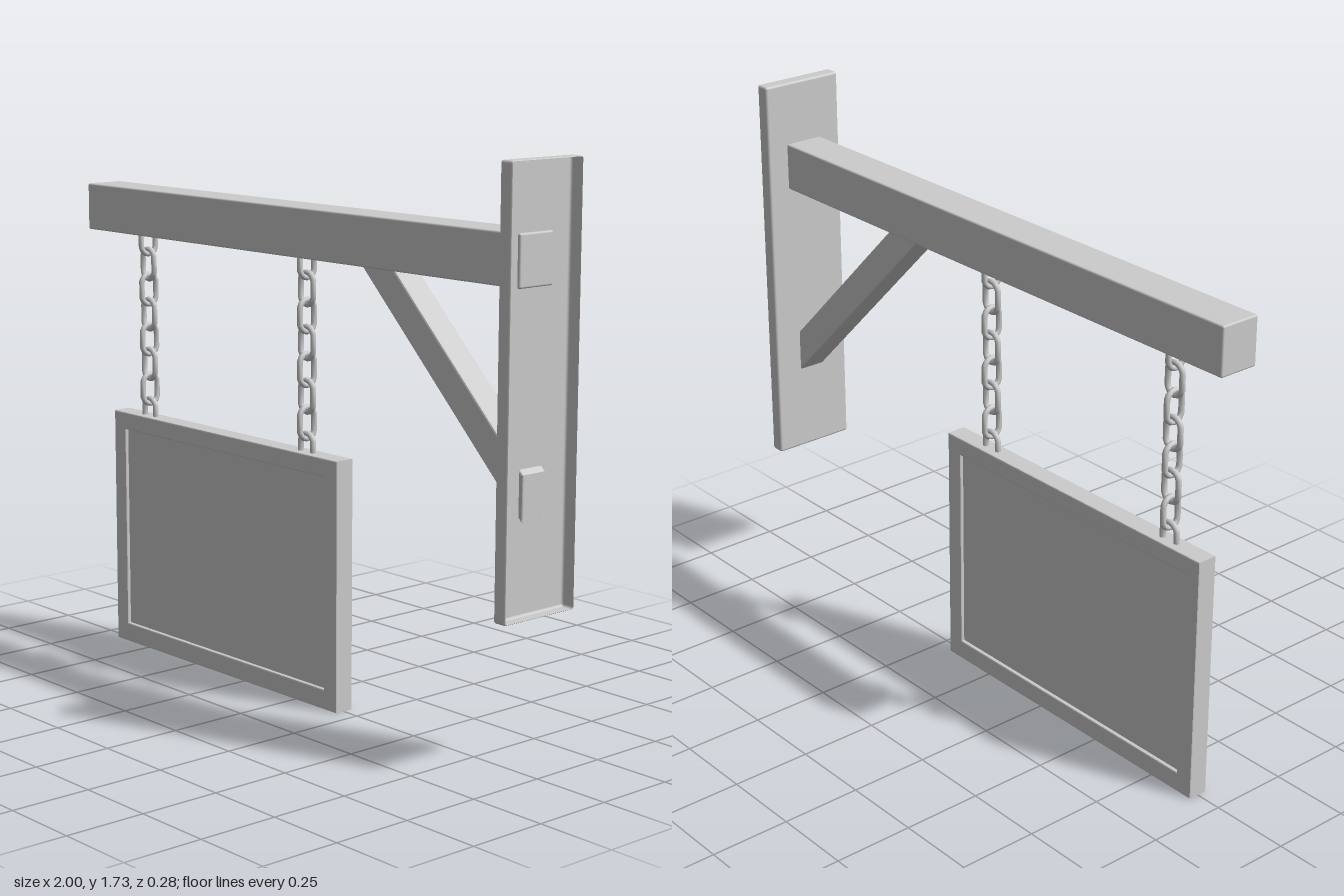
import * as THREE from 'three';
import { RoundedBoxGeometry } from 'three/addons/geometries/RoundedBoxGeometry.js';

const grey = new THREE.MeshStandardMaterial({ color: 0xcccccc });
const greyOpen = new THREE.MeshStandardMaterial({ color: 0xcccccc, side: THREE.DoubleSide });

function part(name, geometry, x = 0, y = 0, z = 0, material = grey) {
  const mesh = new THREE.Mesh(geometry, material);
  mesh.name = name;
  mesh.position.set(x, y, z);
  return mesh;
}

// Extrude centred on z = 0, with a small bevel kept inside the outline
function bevelled(shape, depth, bevel) {
  const geometry = new THREE.ExtrudeGeometry(shape, {
    depth: depth - 2 * bevel, bevelThickness: bevel, bevelSize: bevel,
    bevelOffset: -bevel, bevelSegments: 2,
  });
  return geometry.translate(0, 0, bevel - depth / 2);
}

const polygon = (points) => points.map(([x, y]) => new THREE.Vector2(x, y));
const rectangle = (x0, y0, x1, y1) => polygon([[x0, y0], [x1, y0], [x1, y1], [x0, y1]]);

// Wall plate: rounded shell left open on the wall side (+x)
function wallPlateGeometry() {
  const box = new RoundedBoxGeometry(0.047, 1.265, 0.276, 2, 0.008);
  const skip = box.groups[0].count;
  const shell = new THREE.BufferGeometry();
  for (const key of ['position', 'normal']) {
    const values = box.getAttribute(key).array.slice(skip * 3);
    shell.setAttribute(key, new THREE.BufferAttribute(values, 3));
  }
  return shell;
}

// Oval link: a torus whose halves are pulled apart along y
function linkGeometry() {
  const geometry = new THREE.TorusGeometry(0.029, 0.009, 8, 14);
  geometry.rotateZ(Math.PI / 14);
  const p = geometry.attributes.position;
  for (let i = 0; i < p.count; i++) p.setY(i, p.getY(i) + Math.sign(p.getY(i)) * 0.02);
  geometry.computeBoundingSphere();
  return geometry;
}

function chain(name, x, geometry) {
  const group = new THREE.Group();
  group.name = name;
  group.position.x = x;
  for (let i = 0; i < 8; i++) {
    const link = part('chainLink', geometry, 0, 1.363 - i * 0.082, 0);
    if (i % 2 === 0) link.rotation.y = Math.PI / 2;
    group.add(link);
  }
  return group;
}

export function createModel() {
  const model = new THREE.Group();
  model.name = 'hangingSign';

  // Bracket
  model.add(part('wallPlate', wallPlateGeometry(), 0.9765, 1.0975, 0, greyOpen));
  model.add(part('beam', new RoundedBoxGeometry(1.962, 0.15, 0.13, 2, 0.006), -0.019, 1.455, 0));
  const brace = new THREE.Shape(polygon([
    [0.302, 1.39], [0.967, 0.731], [0.967, 0.868], [0.44, 1.39],
  ]));
  model.add(part('brace', bevelled(brace, 0.09, 0.006)));

  // Chains
  const link = linkGeometry();
  model.add(chain('rightChain', -0.762, link), chain('leftChain', 0.02, link));

  // Sign board: frame around a panel recessed on both faces
  const board = new THREE.Group();
  board.name = 'signBoard';
  const frame = new THREE.Shape(rectangle(-0.915, 0, 0.192, 0.782));
  frame.holes.push(new THREE.Path(rectangle(-0.857, 0.063, 0.134, 0.725).reverse()));
  board.add(part('signFrame', bevelled(frame, 0.066, 0.004)));
  board.add(part('signPanel', new THREE.BoxGeometry(1.01, 0.68, 0.042), -0.3615, 0.394, 0));
  model.add(board);

  return model;
}
